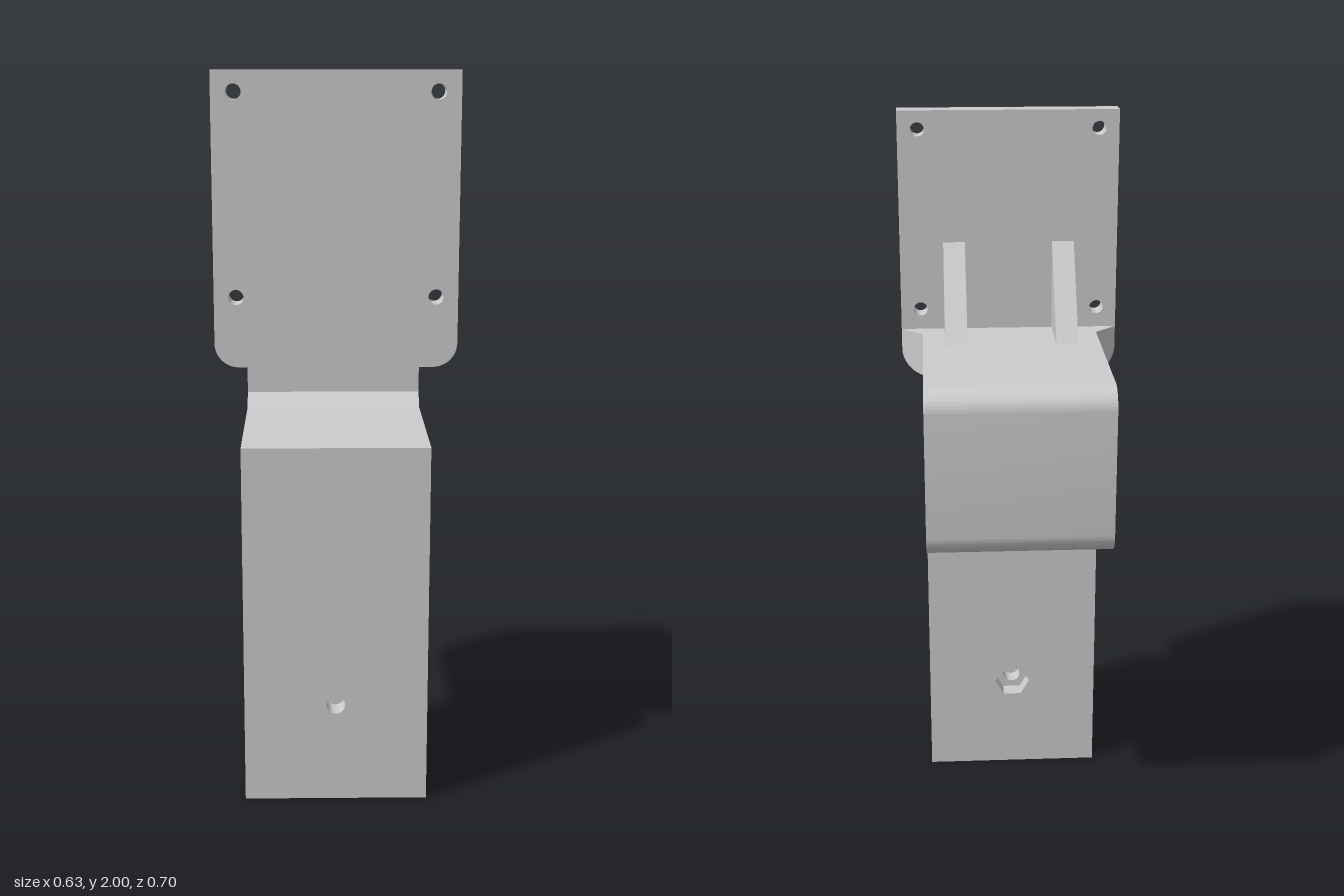
import * as THREE from 'three';
import { toCreasedNormals } from 'three/addons/utils/BufferGeometryUtils.js';

const HALF = 0.254;     // half width of the body
const WIDE = 0.3175;    // half width of the mounting plate
const R = WIDE - HALF;  // corner radius
const FRONT = 0.35, PLATE_BACK = 0.286;
const material = new THREE.MeshStandardMaterial({ color: 0xcccccc });

function addMesh(parent, name, geometry) {
  const mesh = new THREE.Mesh(toCreasedNormals(geometry, 0.5), material);
  mesh.name = name;
  parent.add(mesh);
  return mesh;
}

// Front-facing outline extruded from z0 to z1
function slab(shape, z0, z1) {
  return new THREE.ExtrudeGeometry(shape, { depth: z1 - z0, bevelEnabled: false, curveSegments: 10 }).translate(0, 0, z0);
}

// Side outline given in (z, y), extruded across x and centred on cx
function sideExtrude(shape, width, cx) {
  return new THREE.ExtrudeGeometry(shape, { depth: width, bevelEnabled: false, curveSegments: 10 })
    .translate(0, 0, -width / 2).rotateY(-Math.PI / 2).translate(cx, 0, 0);
}

function polygon(points) {
  return new THREE.Shape(points.map(([x, y]) => new THREE.Vector2(x, y)));
}

function roundHole(x, y, r) {
  return new THREE.Path().absarc(x, y, r, 0, Math.PI * 2, true);
}

function hexHole(x, y, r) {
  const corners = [];
  for (let i = 0; i < 6; i++) {
    const a = -i * Math.PI / 3;
    corners.push(new THREE.Vector2(x + r * Math.cos(a), y + r * Math.sin(a)));
  }
  return new THREE.Path(corners);
}

function legPanel(hole) {
  const shape = polygon([[-HALF, 0], [HALF, 0], [HALF, 0.895], [-HALF, 0.895]]);
  shape.holes.push(hole);
  return shape;
}

export function createModel() {
  const model = new THREE.Group();
  model.name = 'mountingBracket';

  // Mounting plate: rounded lower corners and four screw holes
  const plate = new THREE.Shape();
  plate.moveTo(-WIDE, 2);
  plate.lineTo(-WIDE, 1.24 + R);
  plate.absarc(-HALF, 1.24 + R, R, Math.PI, Math.PI * 1.5, false);
  plate.lineTo(HALF, 1.24);
  plate.absarc(HALF, 1.24 + R, R, -Math.PI / 2, 0, false);
  plate.lineTo(WIDE, 2);
  for (const x of [-0.26, 0.26]) {
    for (const y of [1.425, 1.947]) plate.holes.push(roundHole(x, y, 0.02));
  }
  addMesh(model, 'mountingPlate', slab(plate, PLATE_BACK, FRONT));

  // C-shaped hook: rounded outside bends, chamfered inside corners
  const hook = new THREE.Shape();
  hook.moveTo(PLATE_BACK, 1.365);
  hook.lineTo(-FRONT + R, 1.365);
  hook.absarc(-FRONT + R, 1.365 - R, R, Math.PI / 2, Math.PI, false);
  hook.lineTo(-FRONT, 0.895 + R);
  hook.absarc(-FRONT + R, 0.895 + R, R, Math.PI, Math.PI * 1.5, false);
  for (const [z, y] of [[FRONT, 0.895], [FRONT, 1.02], [-0.117, 1.02], [-0.158, 1.06],
    [-0.158, 1.2], [-0.117, 1.24], [PLATE_BACK, 1.24]]) hook.lineTo(z, y);
  addMesh(model, 'hook', sideExtrude(hook, HALF * 2, 0));

  // Flares widening the upper arm to the plate, following its rounded corners
  for (const side of [-1, 1]) {
    const flare = new THREE.Shape();
    flare.moveTo(side * HALF, 1.365);
    flare.lineTo(side * HALF, 1.24);
    flare.absarc(side * HALF, 1.24 + R, R, -Math.PI / 2, side > 0 ? 0 : -Math.PI, side < 0);
    flare.lineTo(side * WIDE, 1.365);
    const geometry = slab(flare, PLATE_BACK - R, PLATE_BACK);
    const p = geometry.attributes.position;
    for (let i = 0; i < p.count; i++) {
      if (p.getZ(i) < PLATE_BACK - R / 2) p.setZ(i, PLATE_BACK - (WIDE - Math.abs(p.getX(i))));
    }
    addMesh(model, side > 0 ? 'leftFlare' : 'rightFlare', geometry);
  }

  // Triangular gussets behind the plate
  const gusset = polygon([[PLATE_BACK, 1.365], [PLATE_BACK, 1.623], [0.095, 1.365]]);
  addMesh(model, 'leftGusset', sideExtrude(gusset, 0.0635, 0.159));
  addMesh(model, 'rightGusset', sideExtrude(gusset, 0.0635, -0.159));

  // Clamp legs with a through hole; the rear one has a hexagonal nut pocket
  const bolt = () => roundHole(0, 0.283, 0.026);
  addMesh(model, 'frontLeg', slab(legPanel(bolt()), 0.288, FRONT));
  const rearLeg = new THREE.Group();
  rearLeg.name = 'rearLeg';
  addMesh(rearLeg, 'rearLegInner', slab(legPanel(bolt()), 0.147, 0.196));
  addMesh(rearLeg, 'rearLegNutPocket', slab(legPanel(hexHole(0, 0.283, 0.052)), 0.097, 0.147));
  model.add(rearLeg);

  return model;
}
